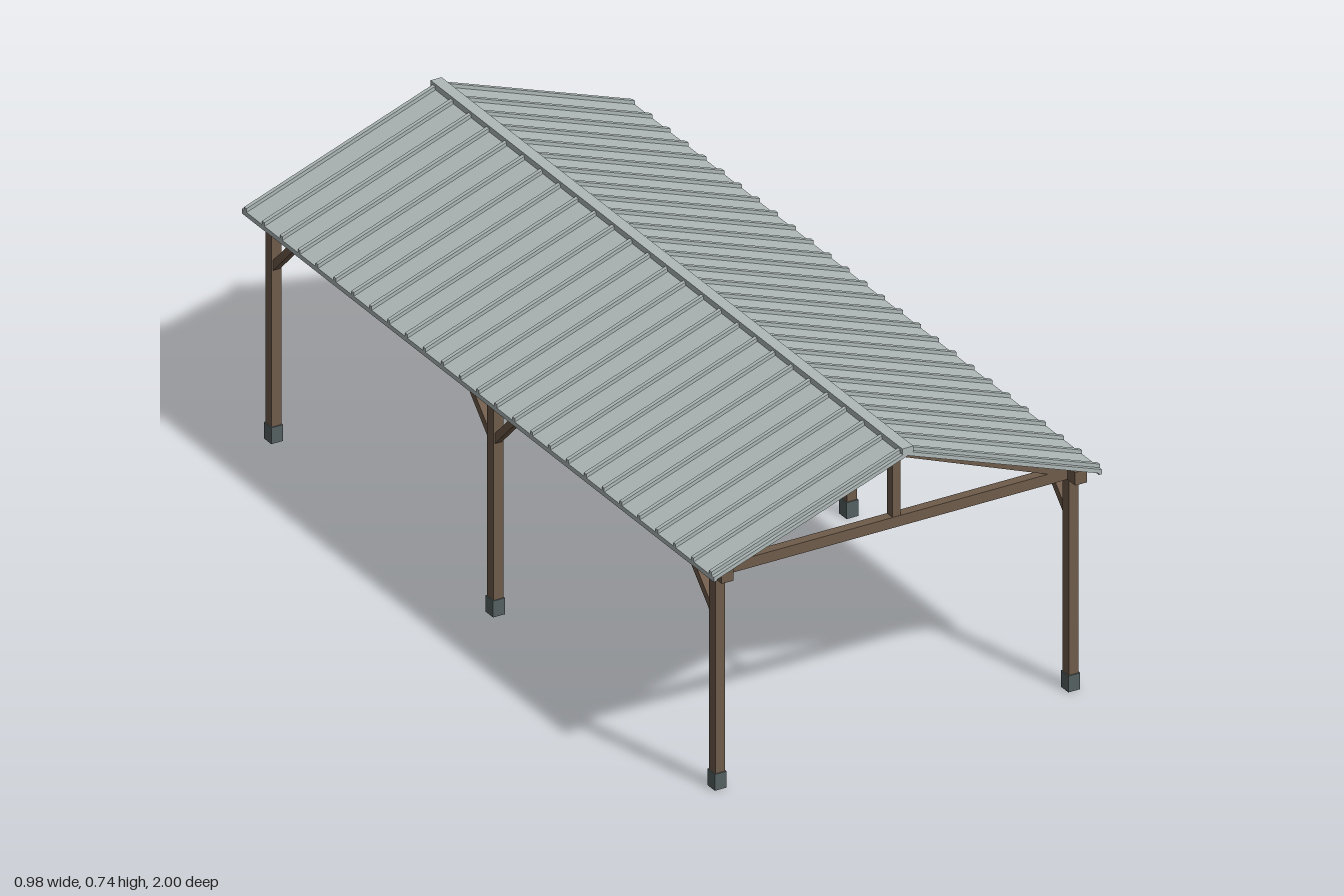
import * as THREE from 'three';

const wood = new THREE.MeshStandardMaterial({ color: 0x6f5c4b });
wood.name = 'brown timber';
const metal = new THREE.MeshStandardMaterial({ color: 0xafb9b8 });
metal.name = 'pale grey roofing';
const steel = new THREE.MeshStandardMaterial({ color: 0x566162 });
steel.name = 'dark grey footing';

const POST_X = 0.447, POST_Z = 0.94, SLOPE = 0.36, EAVE = 0.491;

export function createModel() {
  const model = new THREE.Group();
  model.name = 'pavilion';

  const add = (name, geometry, material, x = 0, y = 0, z = 0) => {
    const mesh = new THREE.Mesh(geometry, material);
    mesh.name = name;
    mesh.position.set(x, y, z);
    model.add(mesh);
    return mesh;
  };
  const box = (name, material, w, h, d, x, y, z) =>
    add(name, new THREE.BoxGeometry(w, h, d), material, x, y, z);

  // Prism from an xy outline, centred along z
  const prism = (points, depth) => {
    const shape = new THREE.Shape(points.map(([x, y]) => new THREE.Vector2(x, y)));
    return new THREE.ExtrudeGeometry(shape, { depth, bevelEnabled: false }).translate(0, 0, -depth / 2);
  };
  // Closes a right-hand outline with its mirror image
  const mirrored = (half) => [...half, ...half.map(([x, y]) => [-x, y]).reverse()];

  // Posts, footings, knee braces and long beams
  for (const side of [-1, 1]) {
    const x = side * POST_X;
    box('longBeam', wood, 0.03, 0.032, 1.97, x, 0.537, 0);
    for (const z of [-POST_Z, 0, POST_Z]) {
      box('post', wood, 0.025, 0.5, 0.027, x, 0.275, z);
      box('footing', steel, 0.03, 0.04, 0.032, x, 0.02, z);
      for (const dir of [-1, 1]) {
        if (z * dir > 0) continue; // end posts are braced inward only
        const brace = box('kneeBrace', wood, 0.018, 0.145, 0.018, x, 0.479, z + dir * 0.056);
        brace.rotation.x = dir * Math.PI / 4;
      }
    }
  }

  // Trusses
  const rafter = prism([[0, 0.695], [0.388, 0.545], [0.434, 0.545], [0.434, 0.554], [0, 0.712]], 0.024);
  for (const z of [-POST_Z, 0, POST_Z]) {
    box('tieBeam', wood, 0.87, 0.026, 0.024, 0, 0.534, z);
    box('kingPost', wood, 0.02, 0.16, 0.022, 0, 0.622, z);
    add('rightRafter', rafter, wood, 0, 0, z);
    add('leftRafter', rafter, wood, 0, 0, z).rotation.y = Math.PI;
  }

  // Roof sheet with turned-down eaves
  const roofY = (ridge, x) => ridge - SLOPE * x;
  const sheet = mirrored([
    [0, 0.718], [0.483, roofY(0.718, 0.483)], [0.483, 0.54],
    [EAVE, 0.54], [EAVE, roofY(0.728, EAVE)], [0, 0.728],
  ].slice(1, 5));
  // Ridge points sit between the two mirrored halves
  sheet.splice(4, 0, [0, 0.728]);
  sheet.push([0, 0.718]);
  add('roofSheet', prism(sheet, 2), metal);

  // Standing seams
  const seam = prism([
    [-EAVE, roofY(0.727, EAVE)], [0, 0.727], [EAVE, roofY(0.727, EAVE)],
    [EAVE, roofY(0.737, EAVE)], [0, 0.737], [-EAVE, roofY(0.737, EAVE)],
  ], 0.01);
  for (let i = -13; i <= 13; i++) add('roofSeam', seam, metal, 0, 0, i * 0.0758);

  // Ridge cap
  box('ridgeCap', metal, 0.028, 0.014, 2, 0, 0.731, 0);

  return model;
}
